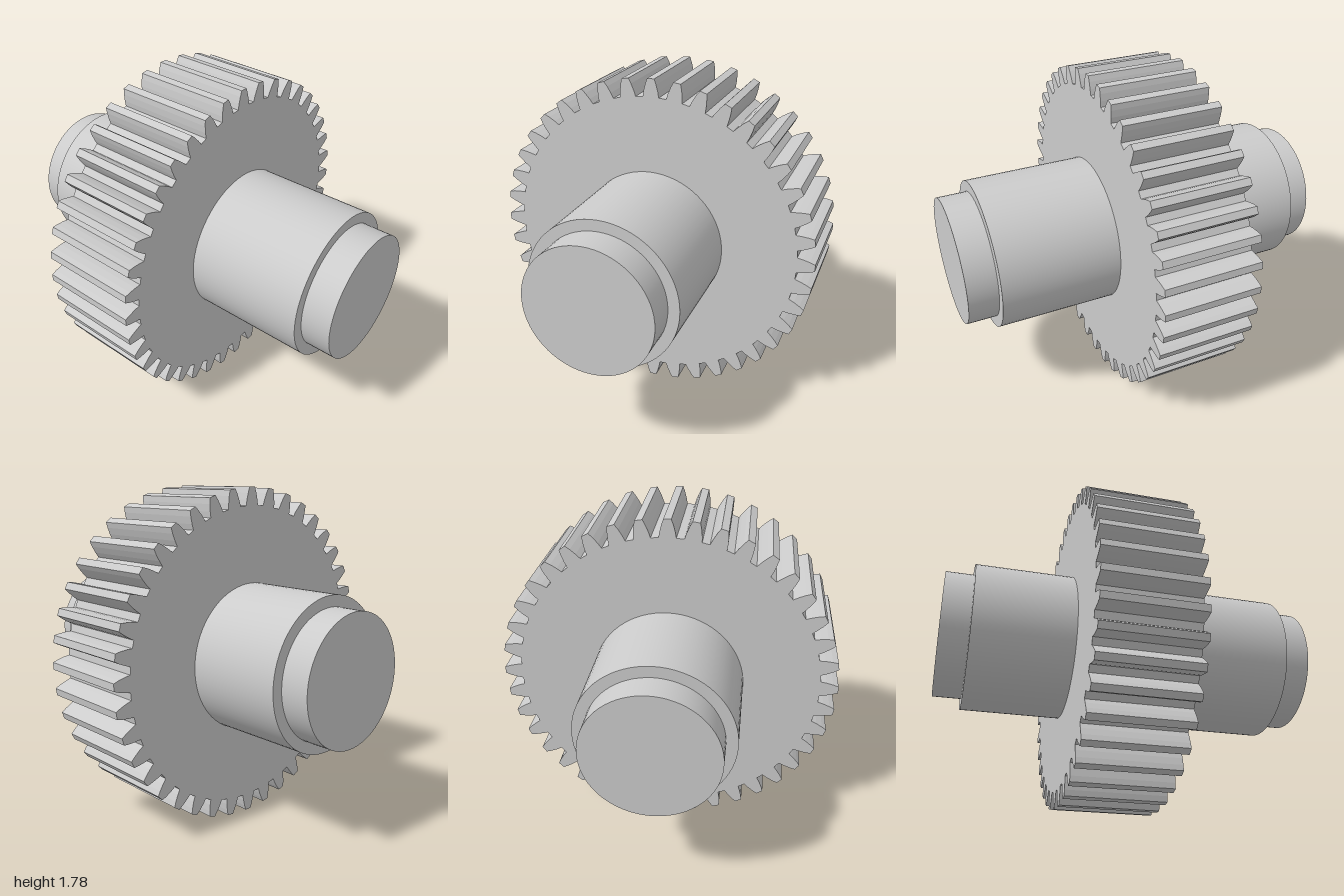
import * as THREE from 'three';

const TEETH = 40;
const ROOT_R = 0.795;
const TIP_R = 0.888;
const CENTRE_Y = 0.888;

// Half-tooth flank, root to tip: [radius, half width]
const FLANK = [[ROOT_R, 0.043], [0.825, 0.038], [0.86, 0.029], [TIP_R, 0.019]];

function gearShape() {
  const points = [];
  for (let i = 0; i < TEETH; i++) {
    const a = (i / TEETH) * Math.PI * 2;
    const add = (r, half) => {
      const t = a + Math.asin(half / r);
      points.push(new THREE.Vector2(r * Math.cos(t), r * Math.sin(t)));
    };
    FLANK.forEach(([r, w]) => add(r, -w));
    [...FLANK].reverse().forEach(([r, w]) => add(r, w));
  }
  return new THREE.Shape(points);
}

export function createModel() {
  const model = new THREE.Group();
  model.name = 'gearShaft';
  const material = new THREE.MeshStandardMaterial({ color: 0xcccccc });

  const add = (name, geometry) => {
    const mesh = new THREE.Mesh(geometry, material);
    mesh.name = name;
    mesh.position.y = CENTRE_Y;
    model.add(mesh);
  };

  // Round bar along z between two depths
  const bar = (name, radius, z0, z1) => add(name,
    new THREE.CylinderGeometry(radius, radius, z1 - z0, 72)
      .rotateX(Math.PI / 2).translate(0, 0, (z0 + z1) / 2));

  // Toothed wheel
  add('gearWheel', new THREE.ExtrudeGeometry(gearShape(), { depth: 0.53, bevelEnabled: false })
    .translate(0, 0, -0.32));

  // Thick shaft with a narrower journal at each end
  bar('shaft', 0.395, -0.85, 0.843);
  bar('frontJournal', 0.337, 0.843, 1);
  bar('backJournal', 0.337, -1, -0.85);

  return model;
}
